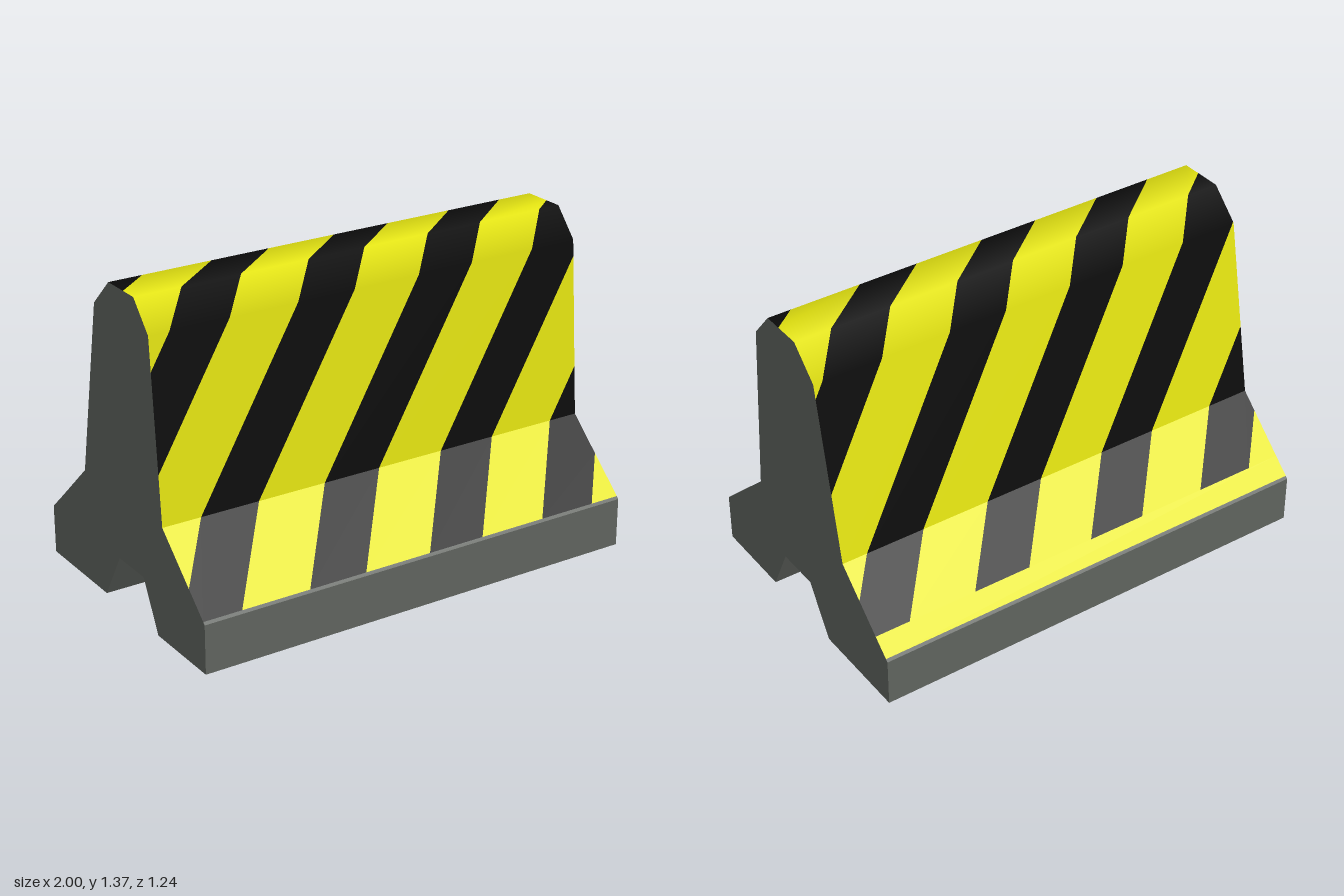
import * as THREE from 'three';

const mat = (name, color) => new THREE.MeshStandardMaterial({ name, color, side: THREE.DoubleSide });

// Painted upper profile from front foot over the crest to back foot:
// [z, y, x of one stripe's left edge]
const PAINTED = [
  [0.61, 0.22, -1.09], [0.315, 0.49, -0.83], [0.255, 1.25, -0.345], [0.15, 1.37, -0.23],
  [-0.045, 1.37, 0.015], [-0.17, 1.25, 0.135], [-0.315, 0.49, 0.63], [-0.54, 0.283, 0.845],
  [-0.61, 0.22, 0.91],
];
// Bare concrete profile, continuing around the underside back to the front
const BARE = [
  [-0.61, 0.22], [-0.62, 0.21], [-0.62, 0], [-0.17, 0], [-0.045, 0.21],
  [0.15, 0.21], [0.255, 0], [0.62, 0], [0.62, 0.21], [0.61, 0.22],
];
const PERIOD = 0.565, WIDTH = 0.26;

// Outward normal (z, y) of one profile segment
function segNormal(path, i) {
  const dz = path[i + 1][0] - path[i][0], dy = path[i + 1][1] - path[i][1];
  return new THREE.Vector2(dy, -dz).normalize();
}

// Keep the part of an (x, t) polygon where sign * x <= 1
function clip(poly, sign) {
  const out = [];
  poly.forEach((a, i) => {
    const b = poly[(i + 1) % poly.length];
    const da = 1 - sign * a[0], db = 1 - sign * b[0];
    if (da >= 0) out.push(a);
    if (da * db < 0) {
      const k = da / (da - db);
      out.push([a[0] + (b[0] - a[0]) * k, a[1] + (b[1] - a[1]) * k]);
    }
  });
  return out;
}

// Collects clipped slanted quads lying on profile segments
function surface() {
  const pos = [], nor = [];
  return {
    quad(p, q, n0, n1, bottom, top) {
      const raw = [[bottom[0], 0], [bottom[1], 0], [top[1], 1], [top[0], 1]];
      const poly = clip(clip(raw, 1), -1);
      for (let k = 1; k < poly.length - 1; k++) {
        for (const [x, t] of [poly[0], poly[k], poly[k + 1]]) {
          const n = n0.clone().lerp(n1, t).normalize();
          pos.push(x, p[1] + (q[1] - p[1]) * t, p[0] + (q[0] - p[0]) * t);
          nor.push(0, n.y, n.x);
        }
      }
    },
    mesh(name, material) {
      const g = new THREE.BufferGeometry();
      g.setAttribute('position', new THREE.Float32BufferAttribute(pos, 3));
      g.setAttribute('normal', new THREE.Float32BufferAttribute(nor, 3));
      const m = new THREE.Mesh(g, material);
      m.name = name;
      return m;
    },
  };
}

export function createModel() {
  const concrete = mat('concrete grey', 0x60645f);
  const yellow = mat('warning yellow', 0xe2e210);
  const black = mat('stripe black', 0x0b0b0b);
  const group = new THREE.Group();
  group.name = 'roadBarrier';

  // Diagonal stripes running over the front, crest and back
  const paint = surface(), stripes = surface();
  const N = PAINTED.slice(1).map((_, i) => segNormal(PAINTED, i));
  const crestFront = N[2].clone().add(N[3]).normalize();
  const crestBack = N[3].clone().add(N[4]).normalize();
  // The crest is rounded by shading; every other face is flat
  const ends = { 2: [N[1], crestFront], 3: [crestFront, crestBack], 4: [crestBack, N[5]] };
  N.forEach((n, i) => {
    const p = PAINTED[i], q = PAINTED[i + 1];
    const [n0, n1] = ends[i] || [n, n];
    if (i === N.length - 1) { // plain yellow edge below the back stripes
      paint.quad(p, q, n0, n1, [-1, 1], [-1, 1]);
      return;
    }
    for (let k = -5; k <= 5; k++) {
      const a = p[2] + k * PERIOD, b = q[2] + k * PERIOD;
      stripes.quad(p, q, n0, n1, [a, a + WIDTH], [b, b + WIDTH]);
      paint.quad(p, q, n0, n1, [a + WIDTH, a + PERIOD], [b + WIDTH, b + PERIOD]);
    }
  });
  group.add(paint.mesh('yellowPaint', yellow), stripes.mesh('blackStripes', black));

  // Foot sides and grooved underside
  const foot = surface();
  for (let i = 0; i < BARE.length - 1; i++) {
    const n = segNormal(BARE, i);
    foot.quad(BARE[i], BARE[i + 1], n, n, [-1, 1], [-1, 1]);
  }
  group.add(foot.mesh('concreteFoot', concrete));

  // End faces
  const outline = [...PAINTED, ...BARE.slice(1, -1)];
  for (const side of [1, -1]) {
    const shape = new THREE.Shape(outline.map(([z, y]) => new THREE.Vector2(-side * z, y)));
    const end = new THREE.Mesh(new THREE.ShapeGeometry(shape), concrete);
    end.name = side > 0 ? 'leftEnd' : 'rightEnd';
    end.rotation.y = side * Math.PI / 2;
    end.position.x = side;
    group.add(end);
  }
  return group;
}
